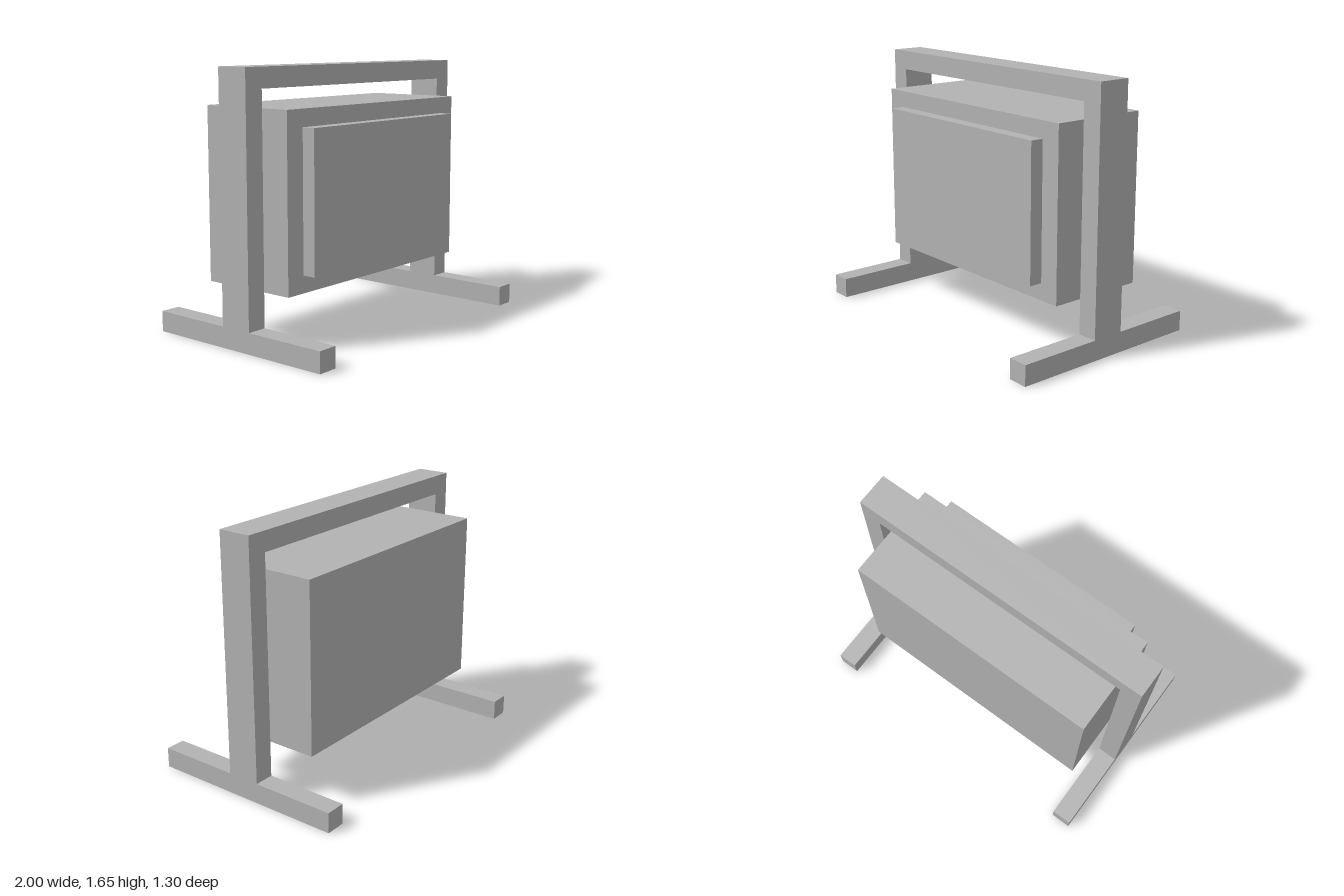
import * as THREE from 'three';

const grey = new THREE.MeshStandardMaterial({ color: 0xb2b2b2 });
grey.name = 'grey';

// Box given by its minimum and maximum corners
function block(name, [x0, y0, z0], [x1, y1, z1]) {
  const mesh = new THREE.Mesh(new THREE.BoxGeometry(x1 - x0, y1 - y0, z1 - z0), grey);
  mesh.position.set((x0 + x1) / 2, (y0 + y1) / 2, (z0 + z1) / 2);
  mesh.name = name;
  return mesh;
}

export function createModel() {
  const model = new THREE.Group();
  model.name = 'framedCabinet';

  // Upright frame: two posts joined by a top bar
  const outer = 1, inner = 0.87, top = 1.655, barBottom = 1.53, depth = 0.216;
  const outline = new THREE.Shape([
    [-outer, 0], [-inner, 0], [-inner, barBottom], [inner, barBottom],
    [inner, 0], [outer, 0], [outer, top], [-outer, top],
  ].map(([x, y]) => new THREE.Vector2(x, y)));
  const frameGeometry = new THREE.ExtrudeGeometry(outline, { depth, bevelEnabled: false });
  frameGeometry.translate(0, 0, -depth / 2);
  const frame = new THREE.Mesh(frameGeometry, grey);
  frame.name = 'frame';
  model.add(frame);

  // Feet reaching forward and back from each post
  for (const [side, x0, x1] of [['left', inner, outer], ['right', -outer, -inner]]) {
    model.add(block(side + 'FrontFoot', [x0, 0, depth / 2], [x1, 0.13, 0.65]));
    model.add(block(side + 'BackFoot', [x0, 0, -0.65], [x1, 0.13, -depth / 2]));
  }

  // Hanging cabinet with a raised front panel
  model.add(block('cabinet', [-0.827, 0.33, -0.39], [0.827, 1.415, 0.26]));
  model.add(block('frontPanel', [-0.695, 0.438, 0.26], [0.695, 1.308, 0.347]));

  return model;
}
